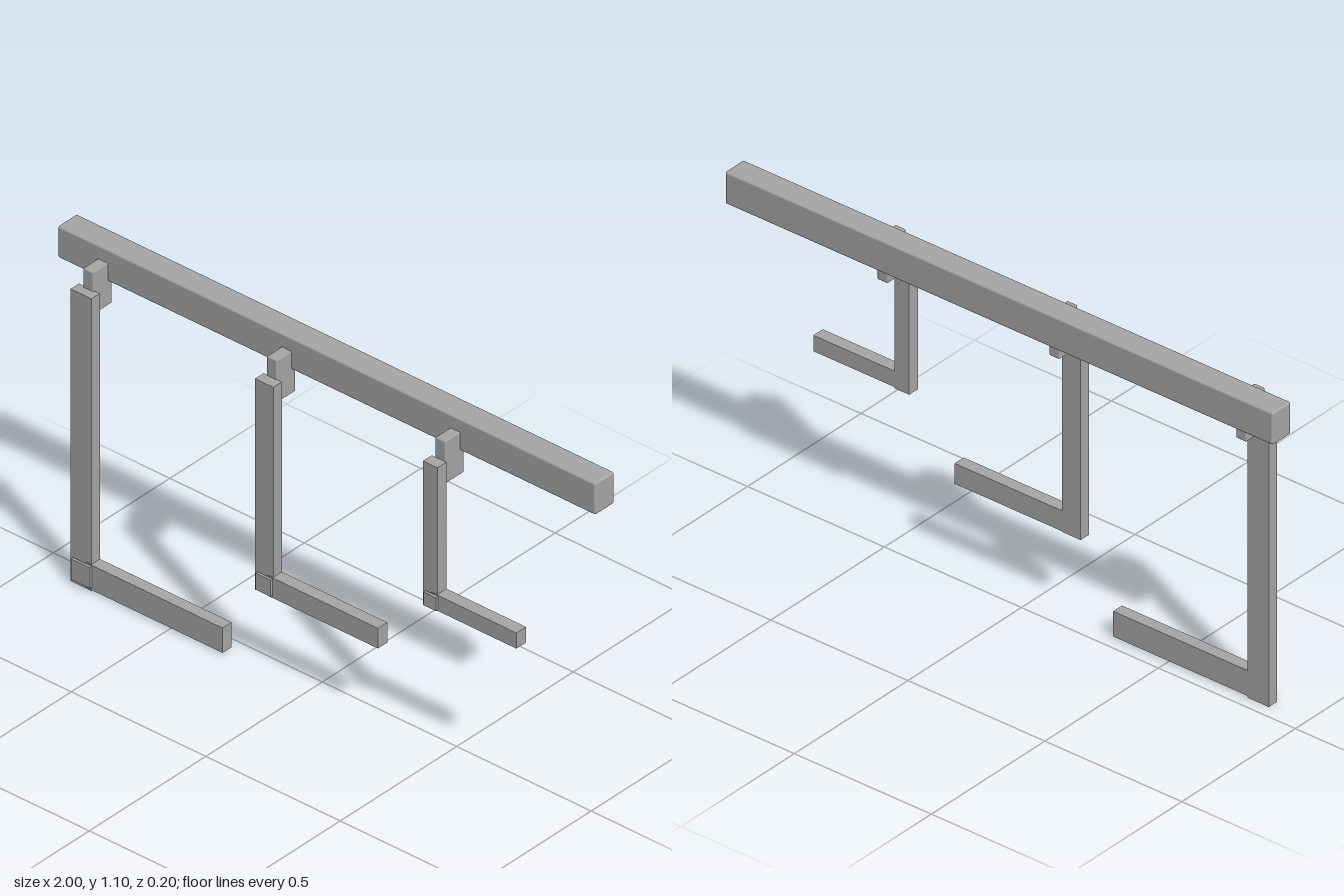
import * as THREE from 'three';
import { RoundedBoxGeometry } from 'three/addons/geometries/RoundedBoxGeometry.js';

// Box given by its min/max extents; a radius softens the edges
function block(name, material, [x0, x1], [y0, y1], [z0, z1], radius = 0) {
  const size = [x1 - x0, y1 - y0, z1 - z0];
  const geometry = radius
    ? new RoundedBoxGeometry(...size, 2, radius)
    : new THREE.BoxGeometry(...size);
  const mesh = new THREE.Mesh(geometry, material);
  mesh.name = name;
  mesh.position.set((x0 + x1) / 2, (y0 + y1) / 2, (z0 + z1) / 2);
  return mesh;
}

export function createModel() {
  const model = new THREE.Group();
  model.name = 'hangingRack';
  const grey = new THREE.MeshStandardMaterial({ color: 0xa6a6a6 });
  grey.name = 'plain grey';

  // Long top rail
  model.add(block('rail', grey, [-1, 1], [0.988, 1.095], [-0.1, -0.018], 0.007));

  // Three L-shaped hangers, shorter from right to left
  const hangers = [
    { name: 'longHanger', clip: [-0.85, -0.813], post: [-0.87, -0.792], bottom: 0,
      foot: [0.006, 0.09], tip: -0.302, z: [0.04, 0.076],
      plate: [-0.856, -0.786], plateY: [0.018, 0.088], plateZ: 0.09 },
    { name: 'middleHanger', clip: [-0.167, -0.13], post: [-0.18, -0.112], bottom: 0.275,
      foot: [0.277, 0.345], tip: 0.28, z: [0.044, 0.081],
      plate: [-0.166, -0.11], plateY: [0.287, 0.343], plateZ: 0.095 },
    { name: 'shortHanger', clip: [0.46, 0.497], post: [0.45, 0.504], bottom: 0.502,
      foot: [0.506, 0.559], tip: 0.8, z: [0.049, 0.087],
      plate: [0.464, 0.511], plateY: [0.512, 0.557], plateZ: 0.101 },
  ];

  for (const h of hangers) {
    const hanger = new THREE.Group();
    hanger.name = h.name;
    const [back, front] = h.z;
    hanger.add(
      // Clip joining the rail to the post
      block('clip', grey, h.clip, [0.908, 1.05], [-0.035, 0.046], 0.003),
      block('post', grey, h.post, [h.bottom, 0.986], h.z),
      block('foot', grey, [h.post[1] - 0.02, h.tip], h.foot, [back, front + 0.003]),
      // Square cover over the corner joint
      block('cornerPlate', grey, h.plate, h.plateY, [h.plateZ - 0.009, h.plateZ]),
    );
    model.add(hanger);
  }
  return model;
}
